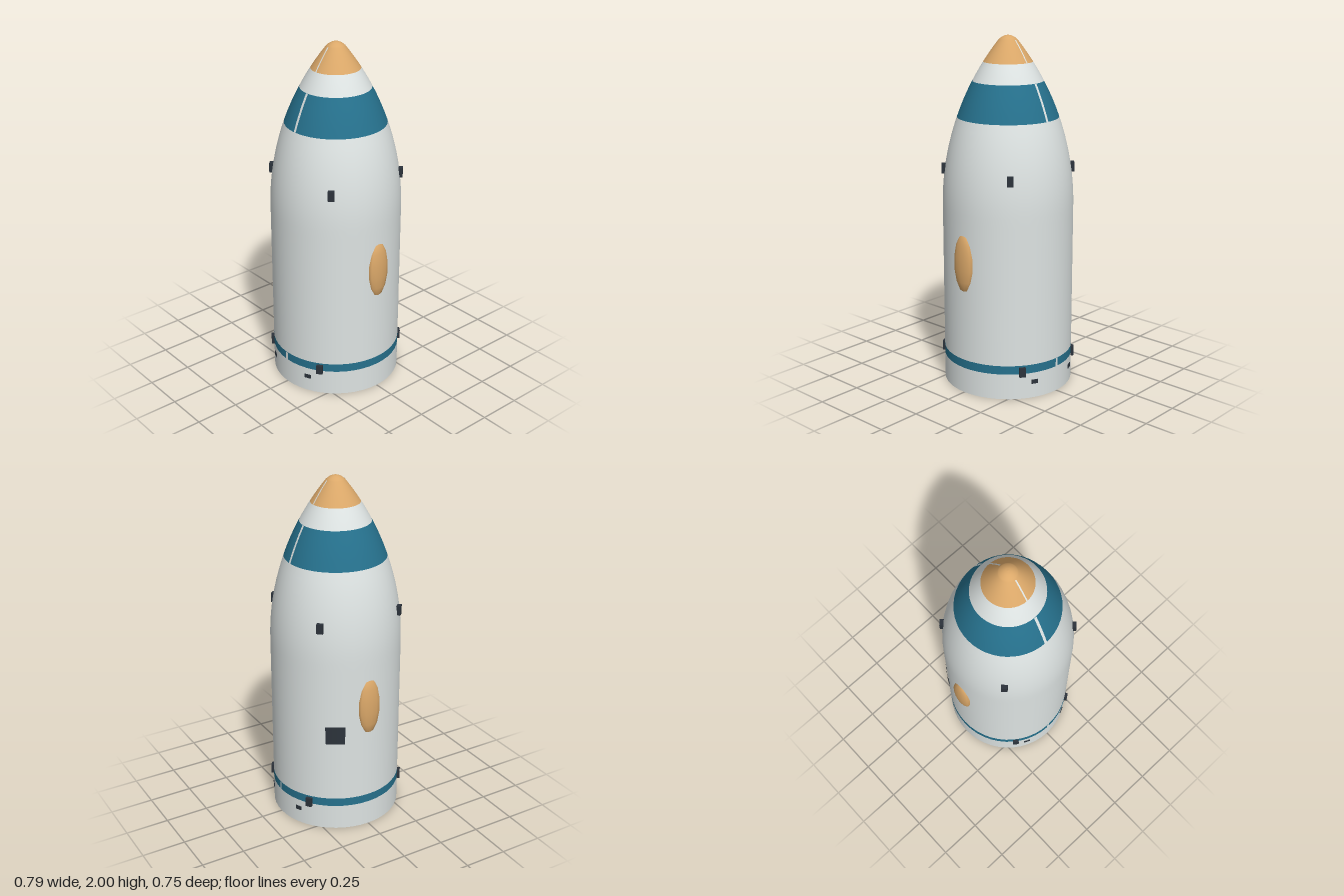
import * as THREE from 'three';

const mat = (name, color, side = THREE.FrontSide) => {
  const m = new THREE.MeshStandardMaterial({ color, side });
  m.name = name;
  return m;
};
const RAD = Math.PI / 180;
const BASE_R = 0.372, SHOULDER = 1.05, OGIVE = 1.5, CAP_Y = 1.975;

// Outer radius at a height: cylinder, then tangent ogive, then a round tip
function radiusAt(y) {
  if (y <= SHOULDER) return BASE_R;
  const s = Math.min(y, CAP_Y) - SHOULDER;
  const c = Math.sqrt(OGIVE * OGIVE - s * s);
  const r = BASE_R - OGIVE + c;
  if (y <= CAP_Y) return r;
  return r * Math.sqrt(Math.max(0, (2 - y) / (2 - CAP_Y)));
}

// Profile points between two heights, pushed out by offset
function profile(y0, y1, offset = 0) {
  const n = Math.max(1, Math.ceil(Math.abs(y1 - y0) / 0.05));
  const pts = [];
  for (let i = 0; i <= n; i++) {
    const y = y0 + (y1 - y0) * i / n;
    pts.push(new THREE.Vector2(Math.max(0, radiusAt(y) + offset), y));
  }
  return pts;
}

export function createModel() {
  const model = new THREE.Group();
  model.name = 'payloadFairing';
  const white = mat('shellWhite', 0xdde3e2);
  const whiteThin = mat('seamWhite', 0xdde3e2, THREE.DoubleSide);
  const teal = mat('bandTeal', 0x26718d);
  const tan = mat('noseTan', 0xdba869);
  const dark = mat('fittingDark', 0x2c333b, THREE.DoubleSide);
  const lining = mat('liningDark', 0x39424f, THREE.DoubleSide);

  const add = (name, geometry, material) => {
    const mesh = new THREE.Mesh(geometry, material);
    mesh.name = name;
    model.add(mesh);
    return mesh;
  };
  const lathe = (name, pts, material, seg = 48, start = 0, length = 360) =>
    add(name, new THREE.LatheGeometry(pts, seg, start * RAD, length * RAD), material);

  // Outer shell, split by colour
  lathe('baseRing', profile(0, 0.15), white);
  lathe('lowerBand', profile(0.15, 0.2), teal);
  lathe('bodyShell', [...profile(0.2, SHOULDER), ...profile(SHOULDER, 1.55).slice(1)], white);
  lathe('upperBand', profile(1.55, 1.75), teal);
  lathe('noseRing', profile(1.75, 1.855), white);
  const tip = [0.25, 0.5, 0.7, 0.85, 0.95, 1].map(t => {
    const y = CAP_Y + (2 - CAP_Y) * t;
    return new THREE.Vector2(radiusAt(y), y);
  });
  lathe('noseCone', [...profile(1.855, CAP_Y), ...tip], tan);

  // Bottom rim and inner wall
  const wall = 0.014;
  lathe('bottomRim', [new THREE.Vector2(BASE_R - wall, 0), new THREE.Vector2(BASE_R, 0)], white);
  lathe('innerWall', profile(1.96, 0, -wall), white);

  // Seam strips where the two half shells meet, front and back
  const seam = (name, y0, y1, halfWidth) => {
    for (const side of [1, -1]) {
      const pts = profile(y0, y1, 0.002), pos = [], idx = [];
      pts.forEach((p, i) => {
        pos.push(-halfWidth * side, p.y, p.x * side, halfWidth * side, p.y, p.x * side);
        if (i) {
          const a = 2 * i - 2;
          idx.push(a, a + 1, a + 3, a, a + 3, a + 2);
        }
      });
      const g = new THREE.BufferGeometry();
      g.setAttribute('position', new THREE.Float32BufferAttribute(pos, 3));
      g.setIndex(idx);
      g.computeVertexNormals();
      add(name + (side > 0 ? 'Front' : 'Back'), g, whiteThin);
    }
  };
  seam('lowerSeam', 0.15, 0.2, 0.008);
  seam('upperSeam', 1.55, 1.75, 0.008);
  seam('noseSeam', 1.855, CAP_Y, 0.004);

  // Flat lining panels inside, three per half shell
  for (const start of [0, 180]) {
    for (let i = 0; i < 3; i++) {
      const a0 = start + 4 + i * 57.5;
      const g = new THREE.LatheGeometry(profile(1.85, 0.09, -0.02), 1, a0 * RAD, 57 * RAD).toNonIndexed();
      g.computeVertexNormals();
      add('liningPanel', g, lining);
    }
  }

  // Small boxes set on the shell at an angle from the front
  const fitting = (name, angle, y, r, w, h, d, material) => {
    const m = add(name, new THREE.BoxGeometry(w, h, d), material);
    m.position.set(r * Math.sin(angle * RAD), y, r * Math.cos(angle * RAD));
    m.rotation.y = angle * RAD;
  };
  const mirrored = a => [a, -a, 180 - a, 180 + a];
  for (const a of mirrored(46)) fitting('upperLatch', a, 1.258, 0.364, 0.036, 0.055, 0.024, dark);
  for (const a of mirrored(35.5)) fitting('lowerLatch', a, 0.163, 0.376, 0.036, 0.055, 0.024, dark);
  for (const a of mirrored(24)) fitting('baseVent', a, 0.096, 0.371, 0.038, 0.024, 0.008, dark);
  for (const b of [27, 64])
    for (const a of mirrored(b)) fitting('rimBracket', a, 0.03, 0.352, 0.03, 0.05, 0.014, white);

  // Oval blister on each side
  for (const s of [1, -1]) {
    const pod = add(s > 0 ? 'leftBlister' : 'rightBlister', new THREE.SphereGeometry(1, 12, 7), tan);
    pod.scale.set(0.033, 0.171, 0.07);
    pod.position.set(s * 0.363, 0.77, 0);
  }

  // Access hatches near the back: a shell-coloured one and a dark one
  lathe('leftHatch', profile(0.345, 0.515, 0.002), whiteThin, 4, 112, 19);
  lathe('rightHatch', profile(0.56, 0.668, 0.004), dark, 4, 230.5, 17);

  return model;
}
